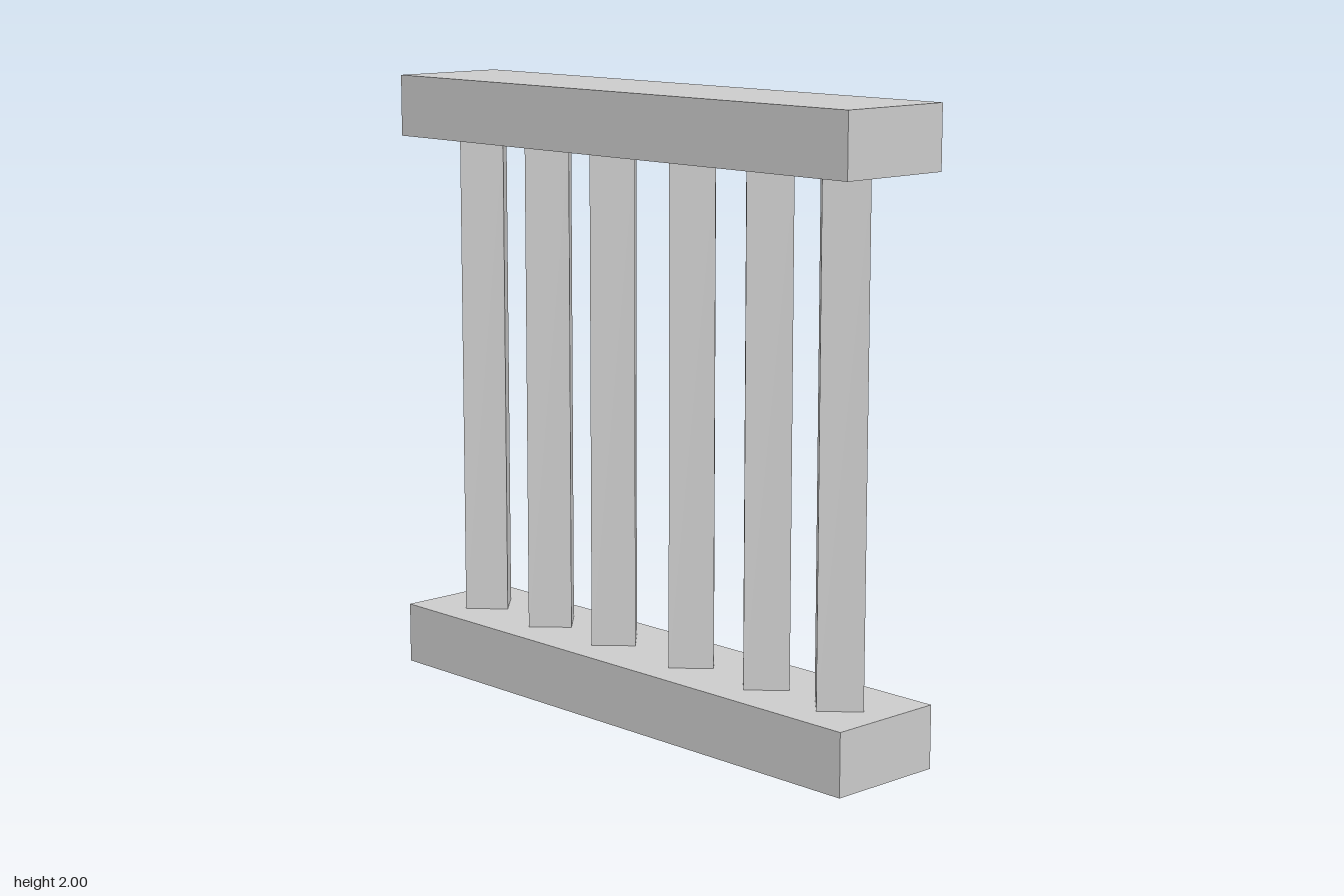
import * as THREE from 'three';

export function createModel() {
  const group = new THREE.Group();
  const material = new THREE.MeshStandardMaterial({ color: 0xcccccc, flatShading: true });

  const add = (name, geometry, x, y) => {
    const mesh = new THREE.Mesh(geometry, material);
    mesh.name = name;
    mesh.position.set(x, y, 0);
    group.add(mesh);
  };

  // Base and handrail: identical square-edged beams
  const beam = new THREE.BoxGeometry(2, 0.2, 0.4);
  add('baseRail', beam, 0, 0.1);
  add('topRail', beam, 0, 1.9);

  // Square balusters set diagonally, one corner facing front
  const baluster = new THREE.CylinderGeometry(0.1, 0.1, 1.6, 4);
  [-0.82, -0.495, -0.185, 0.175, 0.505, 0.81].forEach((x, i) => {
    add(`baluster${i + 1}`, baluster, x, 1);
  });

  return group;
}
